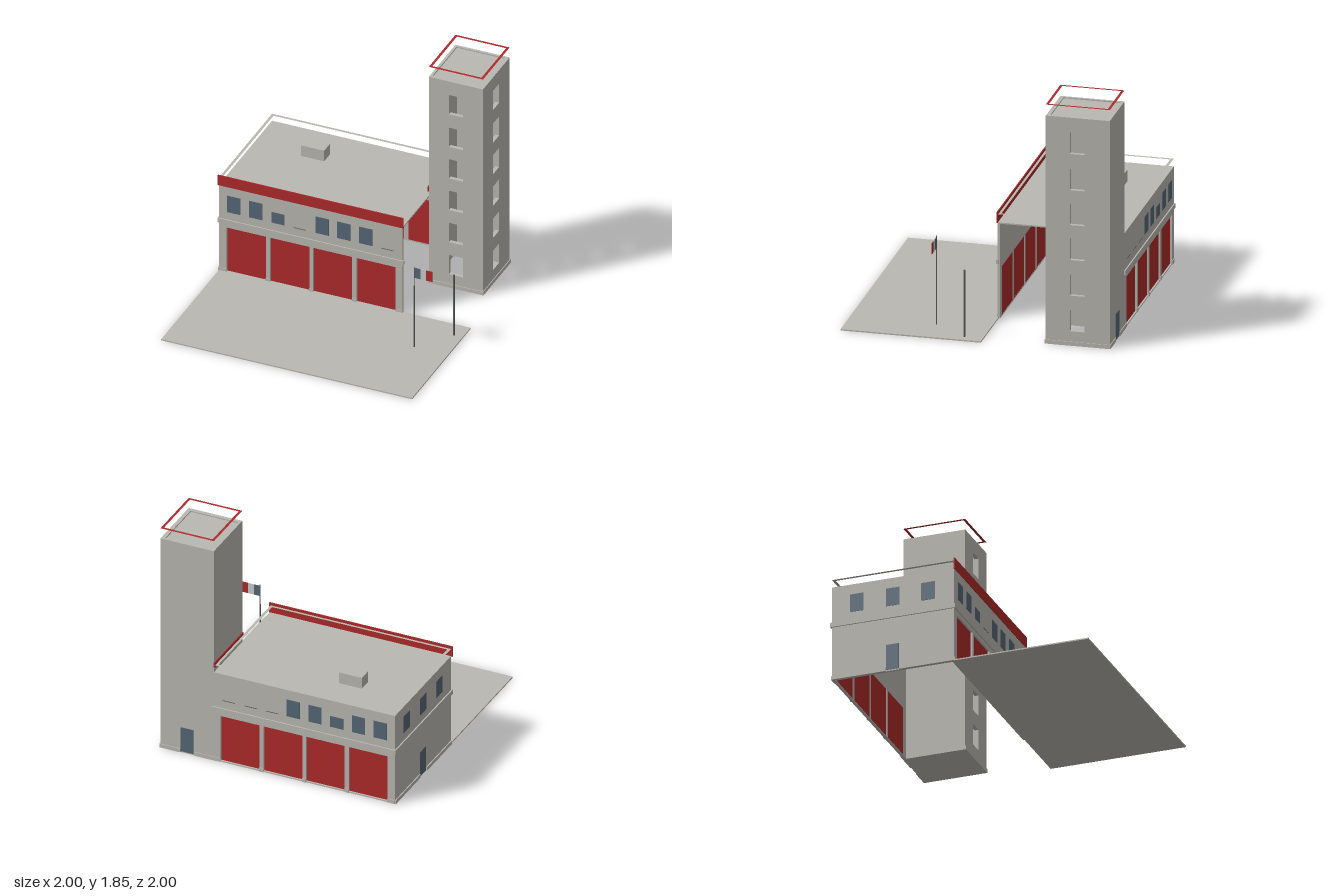
import * as THREE from 'three';

const mat = (name, color, side = THREE.FrontSide) => {
  const m = new THREE.MeshStandardMaterial({ color, side });
  m.name = name;
  return m;
};

export function createModel() {
  const root = new THREE.Group();
  root.name = 'fireStation';
  const grey = mat('concrete grey', 0xbab8b1, THREE.DoubleSide);
  const red = mat('signal red', 0xaf2a2b, THREE.DoubleSide);
  const blue = mat('window blue', 0x566777);
  const dark = mat('pole grey', 0x5f6363);
  const pale = mat('flag white', 0xc9cccb);

  const add = (parent, name, geo, material) => {
    const m = new THREE.Mesh(geo, material);
    m.name = name;
    parent.add(m);
    return m;
  };
  const group = (name) => {
    const g = new THREE.Group();
    g.name = name;
    root.add(g);
    return g;
  };
  // box given by its limits on each axis
  const box = (parent, name, material, x0, x1, y0, y1, z0, z1) => {
    const m = add(parent, name, new THREE.BoxGeometry(x1 - x0, y1 - y0, z1 - z0), material);
    m.position.set((x0 + x1) / 2, (y0 + y1) / 2, (z0 + z1) / 2);
    return m;
  };
  const rect = (target, x0, x1, y0, y1) => target.moveTo(x0, y0).lineTo(x1, y0).lineTo(x1, y1).lineTo(x0, y1).closePath();
  const panel = (outer, holes) => {
    const s = rect(new THREE.Shape(), ...outer);
    holes.forEach((h) => s.holes.push(rect(new THREE.Path(), ...h)));
    return s;
  };
  const wall = (outer, holes, depth) =>
    new THREE.ExtrudeGeometry(panel(outer, holes), { depth, bevelEnabled: false });
  // flat horizontal frame
  const ring = (parent, name, material, x0, x1, z0, z1, w, y) => {
    const geo = new THREE.ShapeGeometry(panel([x0, x1, -z1, -z0], [[x0 + w, x1 - w, -z1 + w, -z0 - w]]));
    geo.rotateX(-Math.PI / 2);
    add(parent, name, geo, material).position.y = y;
  };

  // Forecourt
  box(root, 'forecourt', grey, -0.99, 1, 0, 0.01, -0.05, 1);

  // Garage hall: front and back walls with four door bays each
  const hall = group('garageHall');
  const L = -0.99, R = 0.465, B = -0.99, F = -0.04, H = 0.74;
  const doors = [[-0.93, -0.62], [-0.585, -0.275], [-0.245, 0.065], [0.1, 0.41]];
  const bays = doors.map(([a, b]) => [a, b, 0.01, 0.385]);
  const piers = [[L, -0.93], [-0.62, -0.585], [-0.275, -0.245], [0.065, 0.1], [0.41, R]];
  for (const [side, z, out] of [['front', F, 1], ['back', B, -1]]) {
    add(hall, side + 'Wall', wall([L, R, 0, H], bays, 0.02), grey).position.z = out > 0 ? z - 0.02 : z;
    const zr = z - out * 0.016;
    for (const [a, b] of doors) box(hall, side + 'GarageDoor', red, a, b, 0.01, 0.385, zr - 0.003, zr + 0.003);
    for (const [a, b] of piers) box(hall, side + 'PierBase', grey, a, b, 0, 0.03, z - 0.005, z + 0.005);
    // upper windows; the third one is short
    const starts = out > 0 ? [-0.925, -0.75, -0.575, -0.225, -0.055, 0.12]
      : [-0.925, -0.75, -0.575, -0.4, -0.225];
    for (const x of starts) {
      box(hall, side + 'Window', blue, x, x + 0.105, 0.52, x === -0.575 ? 0.61 : 0.66, z - 0.003, z + 0.003);
    }
    // narrow slits in the blank bays
    for (const x of out > 0 ? [-0.4, 0.295] : [-0.055, 0.12, 0.295]) {
      box(hall, side + 'Slit', dark, x, x + 0.1, 0.518, 0.523, z - 0.002, z + 0.002);
    }
    box(hall, side + 'Ledge', grey, -1, 0.475, 0.42, 0.455, z - 0.01, z + 0.01);
  }

  // Outer side wall with ledge, windows and a door
  box(hall, 'sideWall', grey, L, L + 0.02, 0, H, B, F);
  box(hall, 'sideLedge', grey, -1, L + 0.01, 0.42, 0.455, B, F);
  box(hall, 'sidePlinthRear', grey, L - 0.008, L, 0, 0.03, B, -0.575);
  box(hall, 'sidePlinthFront', grey, L - 0.008, L, 0, 0.03, -0.465, F);
  for (const z of [-0.85, -0.57, -0.295]) box(hall, 'sideWindow', blue, L - 0.003, L + 0.003, 0.52, 0.66, z, z + 0.105);
  box(hall, 'sideDoor', blue, L - 0.003, L + 0.003, 0.01, 0.21, -0.57, -0.47);

  // Roof, its edge rail, red fascias and the vent box
  box(hall, 'roof', grey, L, R, H - 0.01, H, B, F);
  ring(hall, 'roofRail', grey, L, 0.46, B, F, 0.022, 0.8);
  box(hall, 'frontFascia', red, -1, 0.472, 0.735, 0.82, F - 0.003, F + 0.006);
  box(hall, 'towerFascia', red, 0.457, 0.467, 0.78, 0.82, B, -0.505);
  box(hall, 'roofVent', grey, -0.605, -0.42, H, 0.83, -0.74, -0.635);

  // Hollow tower with window openings on two faces
  const tower = group('tower');
  const tx0 = 0.465, tx1 = 0.895, tz0 = -0.99, tz1 = -0.51, tH = 1.76, t = 0.03;
  const sills = [0.11, 0.385, 0.66, 0.93, 1.2, 1.48];
  add(tower, 'towerFrontWall', wall([tx0, tx1, 0, tH], sills.map((y) => [0.625, 0.737, y, y + 0.165]), t), grey)
    .position.z = tz1 - t;
  const sideGeo = wall([-tz1 + t, -tz0, 0, tH], sills.map((y) => [0.69, 0.802, y, y + 0.165]), t);
  sideGeo.rotateY(Math.PI / 2);
  add(tower, 'towerOuterWall', sideGeo, grey).position.x = tx1 - t;
  box(tower, 'towerInnerWall', grey, tx0, tx0 + 0.02, 0, tH, tz0, tz1 - t);
  box(tower, 'towerBackWall', grey, tx0 + 0.02, tx1 - t, 0, tH, tz0, tz0 + 0.02);
  box(tower, 'towerRoof', grey, tx0 + 0.02, tx1 - t, 1.735, 1.75, tz0 + 0.02, tz1 - t);
  // the base plate faces down only
  const base = new THREE.PlaneGeometry(tx1 - tx0, tz1 - tz0).rotateX(Math.PI / 2);
  const baseMat = mat('base grey', 0xbab8b1);
  add(tower, 'towerBase', base, baseMat).position.set((tx0 + tx1) / 2, 0, (tz0 + tz1) / 2);
  ring(tower, 'towerRail', red, tx0, tx1, tz0, tz1, 0.02, 1.845);
  box(tower, 'towerDoor', blue, 0.63, 0.73, 0.01, 0.21, tz0 - 0.004, tz0 + 0.002);
  // low plinth, leaving the door clear
  box(tower, 'plinthFront', grey, tx0, tx1 + 0.006, 0, 0.03, tz1, tz1 + 0.006);
  box(tower, 'plinthSide', grey, tx1, tx1 + 0.006, 0, 0.03, tz0, tz1);
  box(tower, 'plinthBackA', grey, tx0, 0.625, 0, 0.03, tz0 - 0.006, tz0);
  box(tower, 'plinthBackB', grey, 0.735, tx1 + 0.006, 0, 0.03, tz0 - 0.006, tz0);

  // Flagpole with a three-band flag, and a plain post
  const pole = (name, x, z, y0, y1, r) =>
    add(root, name, new THREE.CylinderGeometry(r, r, y1 - y0, 10), dark).position.set(x, (y0 + y1) / 2, z);
  pole('flagpoleLower', 0.73, 0.35, 0.01, 0.53, 0.005);
  pole('flagpoleUpper', 0.73, 0.35, 0.53, 0.695, 0.0035);
  pole('post', 0.93, 0.09, 0.01, 0.525, 0.007);
  [blue, pale, red].forEach((m, i) => {
    const x = 0.734 + i * 0.046;
    box(root, 'flagBand', m, x, x + 0.046, 0.6, 0.685, 0.348, 0.352);
  });
  return root;
}
